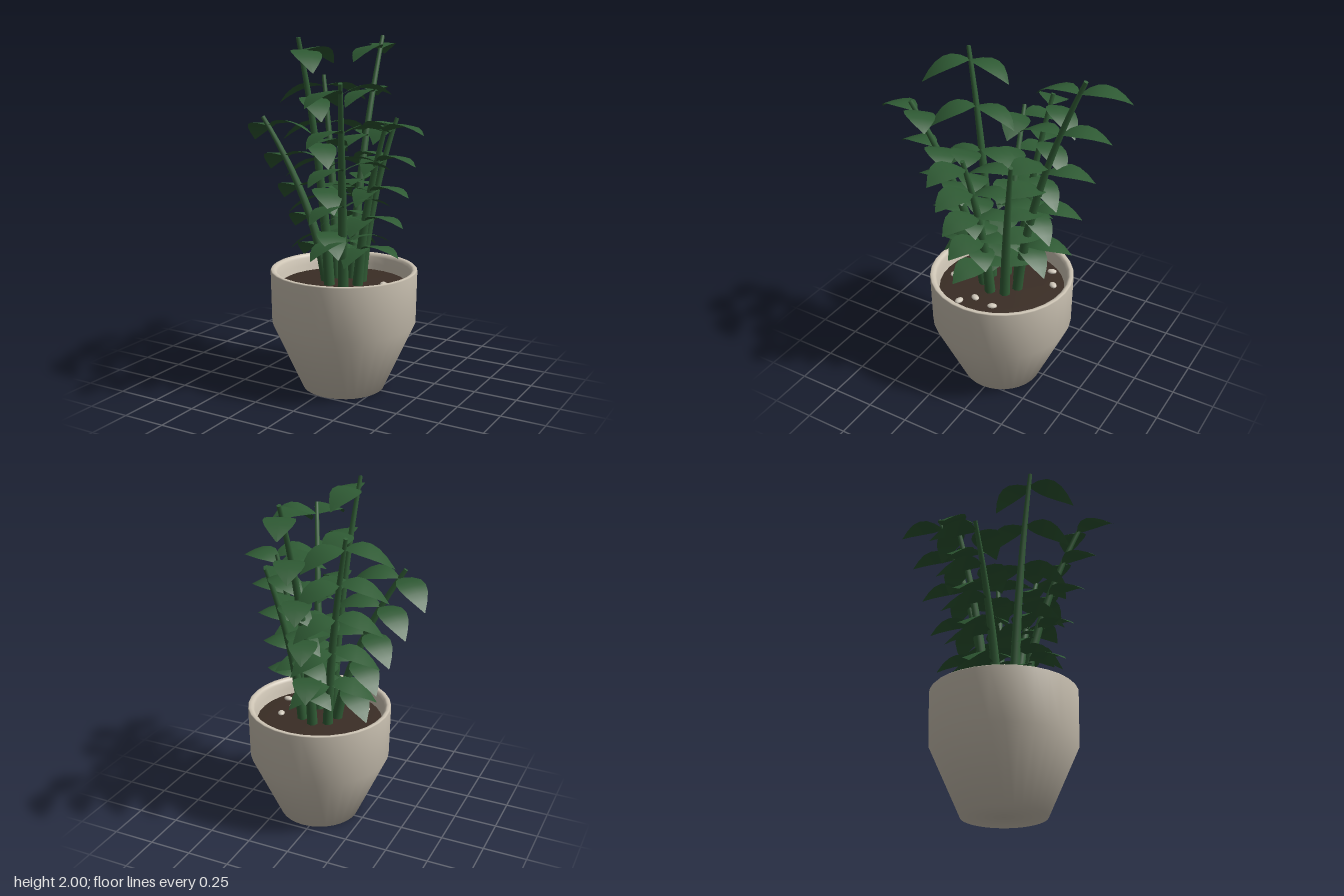
import * as THREE from 'three';

const CX = 0.04, CZ = 0.015, SOIL = 0.61, STEMS = 7;
const rad = THREE.MathUtils.degToRad;

// Tapered tube along a curve
function taperedTube(curve, r0, r1, segs, sides) {
  const geo = new THREE.TubeGeometry(curve, segs, r0, sides);
  const pos = geo.attributes.position, v = new THREE.Vector3();
  for (let i = 0; i <= segs; i++) {
    const c = curve.getPointAt(i / segs);
    const s = THREE.MathUtils.lerp(1, r1 / r0, i / segs);
    for (let k = 0; k <= sides; k++) {
      const n = i * (sides + 1) + k;
      v.fromBufferAttribute(pos, n).sub(c).multiplyScalar(s).add(c);
      pos.setXYZ(n, v.x, v.y, v.z);
    }
  }
  return geo;
}

// Arched pointed leaf growing from the origin in a compass direction
function leafGeometry(angle, drop) {
  const half = [0.006, 0.05, 0.077, 0.081, 0.069, 0.041, 0.002];
  const dx = Math.cos(angle), dz = Math.sin(angle), p = [], idx = [];
  half.forEach((w, j) => {
    const t = j / (half.length - 1), d = 0.268 * t;
    for (const k of [-1, 0, 1]) {
      const sx = -dz * k * w, sz = dx * k * w;
      const tilt = 0.1 * sx + 0.18 * sz - 0.05 * Math.abs(k) * w;
      p.push(dx * d + sx, 0.2 * t * (1 - t) + drop * t + tilt, dz * d + sz);
    }
  });
  for (let j = 0; j < half.length - 1; j++) {
    for (let k = 0; k < 2; k++) {
      const a = j * 3 + k, b = a + 3;
      idx.push(a, a + 1, b, a + 1, b + 1, b);
    }
  }
  const geo = new THREE.BufferGeometry();
  geo.setAttribute('position', new THREE.Float32BufferAttribute(p, 3));
  geo.setIndex(idx);
  geo.computeVertexNormals();
  return geo;
}

export function createModel() {
  const mat = (name, color, side = THREE.FrontSide) => {
    const m = new THREE.MeshStandardMaterial({ color, side });
    m.name = name;
    return m;
  };
  const ceramic = mat('ceramic', 0xcec5b5);
  const earth = mat('earth', 0x3a2d25);
  const stone = mat('stone', 0xd0c8ba);
  const stemGreen = mat('stem green', 0x325f37);
  const leafGreen = mat('leaf green', 0x2e5933, THREE.DoubleSide);

  const model = new THREE.Group();
  model.name = 'pottedPlant';
  const add = (parent, name, geo, material, x = 0, y = 0, z = 0) => {
    const mesh = new THREE.Mesh(geo, material);
    mesh.name = name;
    mesh.position.set(x, y, z);
    parent.add(mesh);
    return mesh;
  };

  // Pot: base, outer wall, rim and inner wall
  const profile = [
    [0, 0], [0.236, 0], [0.412, 0.39], [0.418, 0.695], [0.413, 0.7], [0.398, 0.7],
    [0.388, 0.694], [0.38, 0.68], [0.372, 0.64], [0.362, 0.58],
  ].map(([x, y]) => new THREE.Vector2(x, y));
  add(model, 'pot', new THREE.LatheGeometry(profile, 32), ceramic, CX, 0, CZ);

  // Soil, slightly domed
  const soil = [[0.37, SOIL - 0.005], [0.25, SOIL + 0.005], [0, SOIL + 0.012]].map(([x, y]) => new THREE.Vector2(x, y));
  add(model, 'soil', new THREE.LatheGeometry(soil, 32), earth, CX, 0, CZ);

  // Pebbles scattered on the soil
  const pebble = new THREE.IcosahedronGeometry(0.026, 1);
  const spots = [[-0.21, 0.195], [0.2, 0.06], [0.22, -0.065], [0.27, 0.125], [-0.13, -0.27], [-0.25, -0.2], [0.06, 0.29]];
  spots.forEach(([x, z], i) => {
    const m = add(model, 'pebble', pebble, stone, CX + x, SOIL + 0.008, CZ + z);
    m.scale.set(1.1, 0.5, 0.8);
    m.rotation.y = i;
  });

  // Ring of leaning stems, each with five pairs of leaves
  const drops = [[0, -0.04], [0, -0.05], [-0.07, -0.1], [-0.11, -0.04], [-0.09, -0.1], [-0.07, -0.04], [-0.07, -0.06]];
  // Compass directions of the two leaves in each pair
  const leafDirs = [[13, 151], [-43, 101], [-80, 45], [219, 350], [303, 161], [97, 248], [88, 200]];
  for (let i = 0; i < STEMS; i++) {
    const a = rad(11.5 + (i * 360) / STEMS);
    const top = [1.55, 1.775, 1.995][i % 3];
    const [bend, lean] = i % 2 ? [0.17, 0.478] : [0.14, 0.3];
    const at = (r, y) => new THREE.Vector3(CX + r * Math.cos(a), y, CZ + r * Math.sin(a));
    const base = SOIL - 0.02;
    const curve = new THREE.QuadraticBezierCurve3(at(0.1, base), at(bend, (base + top) / 2), at(lean, top));
    const shoot = new THREE.Group();
    shoot.name = 'shoot';
    model.add(shoot);
    add(shoot, 'stem', taperedTube(curve, 0.032, 0.012, 12, 8), stemGreen);
    const tip = curve.getPoint(1);
    const cap = add(shoot, 'stemTip', new THREE.CircleGeometry(0.012, 8), stemGreen, tip.x, tip.y, tip.z);
    cap.lookAt(tip.clone().add(curve.getTangent(1)));

    leafDirs[i].forEach((dir, s) => {
      const geo = leafGeometry(rad(dir), drops[i][s]);
      for (let level = 0; level < 5; level++) {
        const p = curve.getPoint(0.24 + 0.177 * level);
        add(shoot, 'leaf', geo, leafGreen, p.x, p.y, p.z);
      }
    });
  }
  return model;
}
